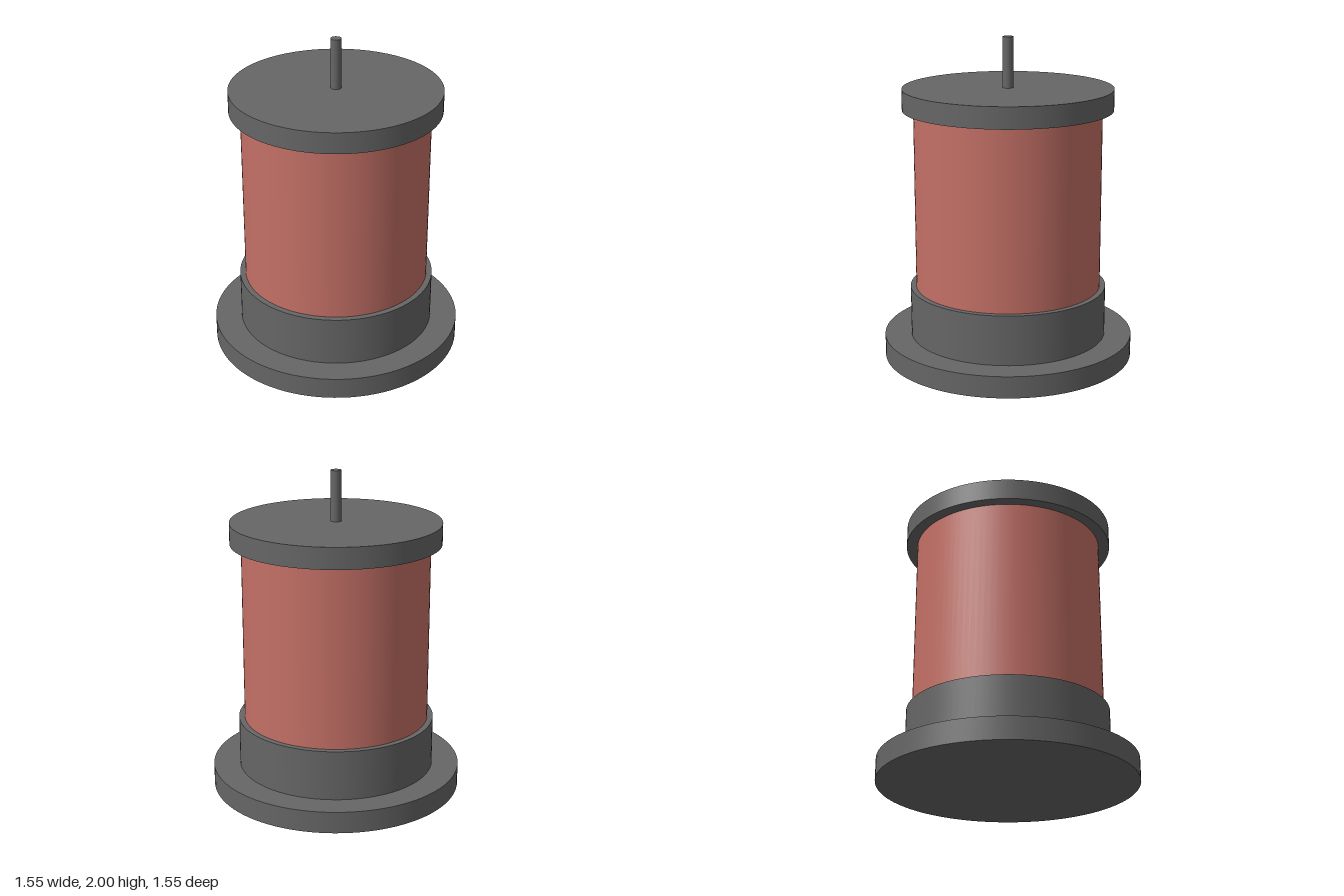
import * as THREE from 'three';

export function createModel() {
  const model = new THREE.Group();
  model.name = 'spool';

  const darkGrey = new THREE.MeshStandardMaterial({ color: 0x666666 });
  darkGrey.name = 'dark grey';
  const clayRed = new THREE.MeshStandardMaterial({ color: 0xc47066 });
  clayRed.name = 'clay red';

  // Upright cylinder between two heights
  function disc(name, radius, bottom, top, material, sides = 96) {
    const mesh = new THREE.Mesh(
      new THREE.CylinderGeometry(radius, radius, top - bottom, sides),
      material
    );
    mesh.name = name;
    mesh.position.y = (bottom + top) / 2;
    model.add(mesh);
  }

  // Stacked from the ground up
  disc('baseFlange', 0.777, 0, 0.135, darkGrey);
  disc('lowerCollar', 0.611, 0.135, 0.445, darkGrey);
  disc('body', 0.576, 0.445, 1.56, clayRed);
  disc('topCap', 0.644, 1.56, 1.69, darkGrey);
  disc('spindle', 0.033, 1.69, 2, darkGrey, 32);

  return model;
}
